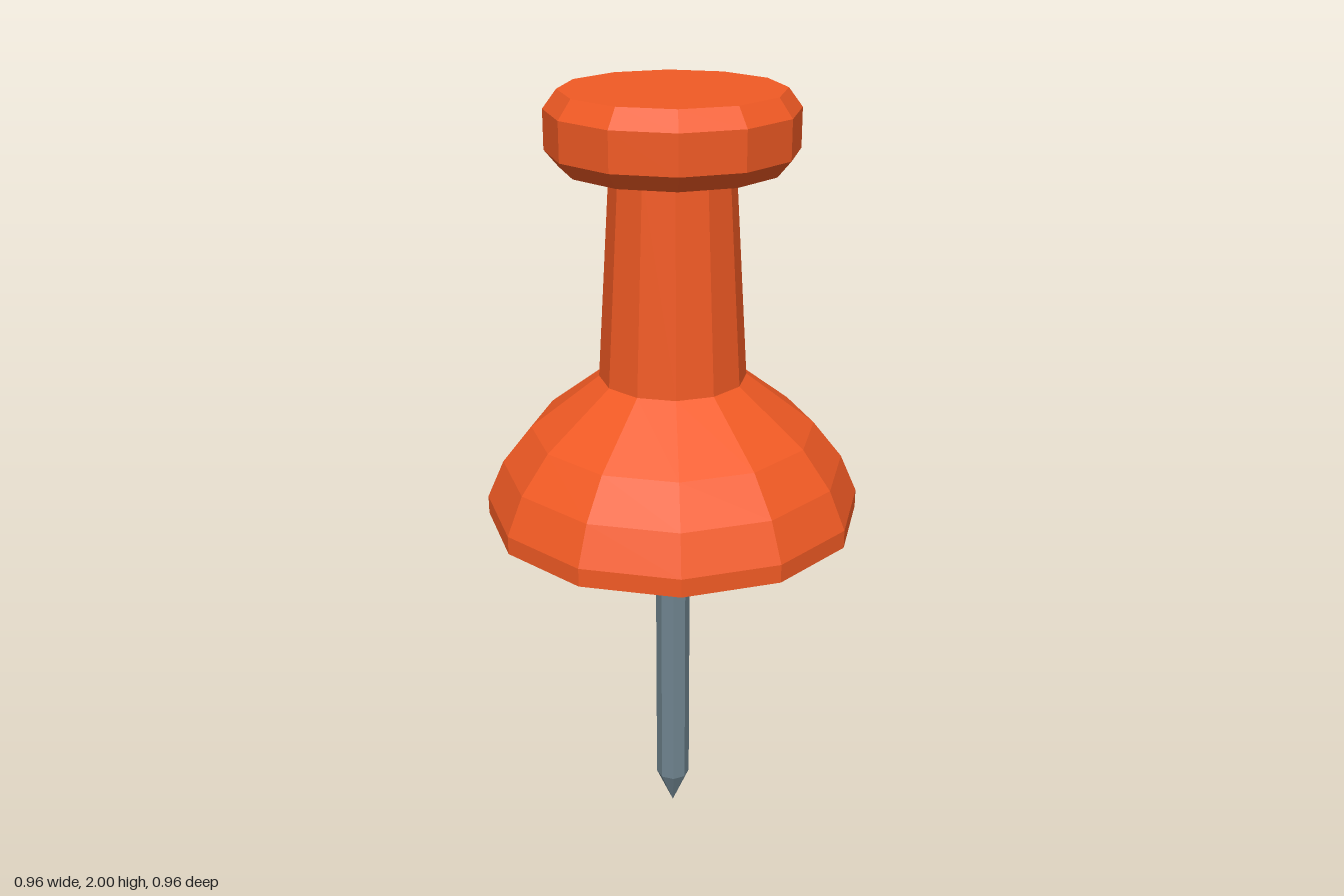
import * as THREE from 'three';

// Faceted turned part from [radius, height] pairs, listed bottom to top
function turned(name, profile, sides, color) {
  const points = profile.map(([r, y]) => new THREE.Vector2(r, y));
  const geometry = new THREE.LatheGeometry(points, sides).toNonIndexed();
  geometry.computeVertexNormals();
  const material = new THREE.MeshStandardMaterial({ color, flatShading: true });
  const mesh = new THREE.Mesh(geometry, material);
  mesh.name = name;
  return mesh;
}

export function createModel() {
  const group = new THREE.Group();
  group.name = 'pushPin';
  const orange = 0xf15a24;
  const steel = 0x6f848f;

  // Domed skirt with a flat underside
  group.add(turned('skirt', [
    [0, 0.92], [0.478, 0.92], [0.478, 0.967], [0.435, 1.065],
    [0.36, 1.16], [0.185, 1.295],
  ], 12, orange));

  // Tapered grip
  group.add(turned('grip', [[0.185, 1.295], [0.152, 1.82]], 12, orange));

  // Bevelled head
  group.add(turned('head', [
    [0, 1.82], [0.27, 1.82], [0.304, 1.86], [0.304, 1.955], [0.27, 2], [0, 2],
  ], 12, orange));

  // Needle with a pointed tip
  group.add(turned('needle', [[0, 0], [0.045, 0.1], [0.045, 0.925]], 8, steel));

  return group;
}
